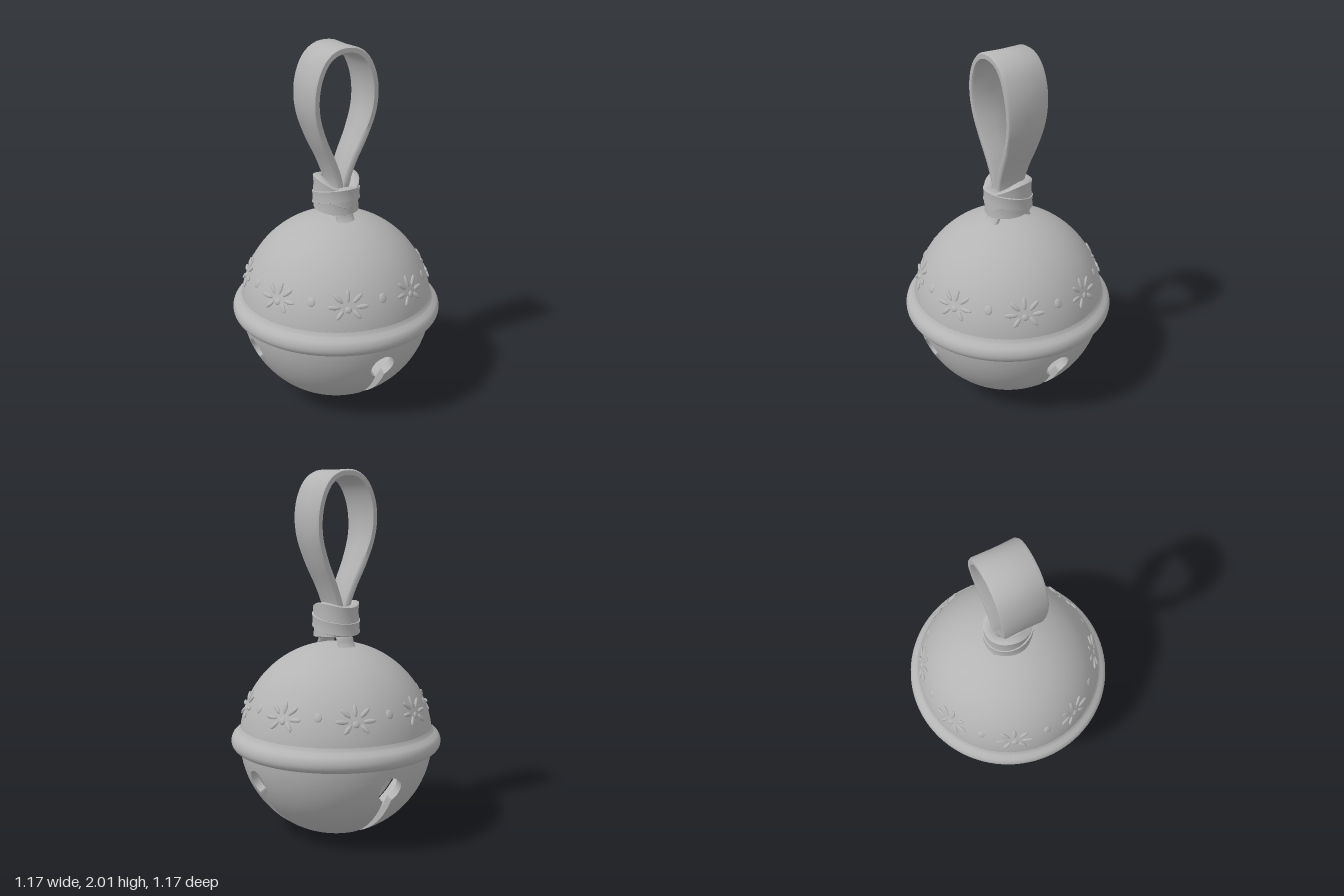
import * as THREE from 'three';
import { toCreasedNormals } from 'three/addons/utils/BufferGeometryUtils.js';

const R = 0.537, CY = 0.53, WALL = 0.04;   // shell radius, centre height, thickness
const TAU = Math.PI * 2;

// Skins a list of closed cross-section loops
function skin(rings, crease, closed = false) {
  const n = rings[0].length, pos = [], idx = [];
  rings.forEach(r => r.forEach(p => pos.push(p.x, p.y, p.z)));
  const rows = closed ? rings.length : rings.length - 1;
  for (let i = 0; i < rows; i++) {
    const k = (i + 1) % rings.length;
    for (let j = 0; j < n; j++) {
      const m = (j + 1) % n;
      const a = i * n + j, b = i * n + m, c = k * n + j, d = k * n + m;
      idx.push(a, c, b, b, c, d);
    }
  }
  const g = new THREE.BufferGeometry();
  g.setAttribute('position', new THREE.Float32BufferAttribute(pos, 3));
  g.setIndex(idx);
  return toCreasedNormals(g, crease);
}

// Half width of the sound slot at a height: straight cut ending in a round hole
function slotHalf(y) {
  const d = y - 0.345;
  const hole = Math.abs(d) < 0.07 ? Math.sqrt(0.0049 - d * d) : 0;
  return d < 0 ? Math.max(0.028, hole) : hole;
}

// One quarter of the slotted lower shell
function quarterShell() {
  const rings = [], rows = 90, cols = 16;
  const end = Math.PI - Math.asin(0.028 * Math.SQRT2 / (R - WALL));
  for (let i = 0; i <= rows; i++) {
    const phi = THREE.MathUtils.lerp(Math.PI / 2, end, i / rows);
    const w = slotHalf(CY + R * Math.cos(phi));
    const arc = (rad) => {
      const r = rad * Math.sin(phi), a = Math.asin(Math.min(w / r, Math.SQRT1_2));
      return Array.from({ length: cols + 1 }, (_, j) => {
        const t = THREE.MathUtils.lerp(a, Math.PI / 2 - a, j / cols);
        return new THREE.Vector3(r * Math.sin(t), CY + rad * Math.cos(phi), r * Math.cos(t));
      });
    };
    rings.push([...arc(R), ...arc(R - WALL).reverse()]);
  }
  return skin(rings, 0.7);
}

// Soft strap section: [across thickness, across width]
const SECTION = [[0.6, -1], [1, -0.9], [0.85, 0], [1, 0.9], [0.6, 1],
  [-0.6, 1], [-1, 0.9], [-1.1, 0], [-1, -0.9], [-0.6, -1]];

// Teardrop hanging loop
function strapGeometry() {
  const half = [[0.016, 1.17], [0.022, 1.26], [0.06, 1.37], [0.125, 1.51], [0.168, 1.64], [0.176, 1.75],
    [0.157, 1.85], [0.115, 1.93], [0.06, 1.97]];
  const pts = [...half, [0, 1.98], ...half.slice().reverse().map(([x, y]) => [-x, y])];
  const curve = new THREE.CatmullRomCurve3(pts.map(([x, y]) => new THREE.Vector3(x, y, 0)));
  const rings = [];
  for (let i = 0; i <= 80; i++) {
    const p = curve.getPointAt(i / 80), t = curve.getTangentAt(i / 80);
    const w = 0.082 + 0.043 * THREE.MathUtils.smoothstep(p.y, 1.2, 1.9);
    rings.push(SECTION.map(([n, s]) =>
      new THREE.Vector3(p.x + t.y * n * 0.02, p.y - t.x * n * 0.02, s * w)));
  }
  return skin(rings, 0.9);
}

// Wrapped band of the knot; height is a function of the angle
function bandGeometry(radius, halfHeight, height) {
  const rings = [];
  for (let i = 0; i < 48; i++) {
    const a = i / 48 * TAU, sx = Math.sin(a), cz = Math.cos(a);
    rings.push(SECTION.map(([n, s]) => {
      const r = radius + n * 0.022;
      return new THREE.Vector3(r * sx, height(a) + s * halfHeight, r * cz * 1.07);
    }));
  }
  return skin(rings, 0.9, true);
}

export function createModel() {
  const model = new THREE.Group();
  const metal = new THREE.MeshStandardMaterial({ color: 0xb4b4b4 });
  metal.name = 'plain grey';
  const add = (name, geo, parent = model) => {
    const m = new THREE.Mesh(geo, metal);
    m.name = name;
    parent.add(m);
    return m;
  };

  // Hollow upper dome
  const dome = [];
  for (let i = 0; i <= 32; i++) {
    const a = i / 32 * Math.PI / 2;
    dome.push(new THREE.Vector2(R * Math.cos(a), CY + R * Math.sin(a)));
  }
  const inside = dome.map(p => new THREE.Vector2(p.x * (1 - WALL / R), CY + (p.y - CY) * (1 - WALL / R))).reverse();
  add('upperDome', new THREE.LatheGeometry(dome, 72));
  add('upperDomeInside', new THREE.LatheGeometry(inside, 72));

  // Four slotted lower quarters
  const quarter = quarterShell();
  for (let k = 0; k < 4; k++) add('lowerShellQuarter', quarter).rotation.y = k * Math.PI / 2;

  // Rolled belt
  const belt = [[0.51, 0.475], [0.545, 0.474], [0.567, 0.484], [0.581, 0.505], [0.583, 0.53],
    [0.574, 0.555], [0.555, 0.573], [0.541, 0.586], [0.528, 0.61]];
  const beltCurve = new THREE.SplineCurve(belt.map(p => new THREE.Vector2(...p)));
  add('belt', new THREE.LatheGeometry(beltCurve.getPoints(28), 96));

  // Raised ornaments around the dome
  const bead = new THREE.SphereGeometry(1, 14, 8);
  const onDome = (name, angle, y) => {
    const g = new THREE.Group(), r = Math.sqrt(R * R - (y - CY) ** 2);
    g.name = name;
    g.position.set(r * Math.sin(angle), y, r * Math.cos(angle));
    g.lookAt(g.position.clone().multiplyScalar(2).setY(y + (y - CY)));
    model.add(g);
    return g;
  };
  const blob = (name, parent, x, y, w, h, turn) => {
    const m = add(name, bead, parent);
    m.position.set(x, y, -0.002);
    m.scale.set(w, h, 0.008);
    m.rotation.z = turn;
  };
  for (let k = 0; k < 8; k++) {
    const a = k * Math.PI / 4;
    blob('dot', onDome('dotOrnament', a, 0.75), 0, 0, 0.022, 0.026, 0);
    const flower = onDome('flowerOrnament', a + Math.PI / 8, 0.74);
    for (const t of [-1.5, -0.8, 0, 0.8, 1.5]) {
      const d = 0.062 + 0.012 * Math.abs(Math.sin(t));
      blob('petal', flower, -Math.sin(t) * d, Math.cos(t) * d - 0.015, 0.012, 0.034, t);
    }
    for (const s of [-1, 1]) blob('leaf', flower, s * 0.045, -0.05, 0.012, 0.03, s * 0.7);
    blob('flowerHeart', flower, 0, -0.025, 0.018, 0.018, 0);
  }

  // Arched shank under the knot
  const arch = new THREE.CatmullRomCurve3([[-0.125, 1.025], [-0.1, 1.06], [-0.08, 1.1], [-0.04, 1.125], [0, 1.13],
    [0.04, 1.125], [0.08, 1.1], [0.1, 1.06], [0.125, 1.025]].map(([z, y]) => new THREE.Vector3(0, y, z)));
  add('shank', new THREE.TubeGeometry(arch, 40, 0.021, 12)).scale.x = 2.6;

  // Hanging strap and its wrapped knot
  add('strapLoop', strapGeometry());
  const core = add('knotCore', new THREE.CylinderGeometry(0.1, 0.1, 0.12, 32));
  core.position.y = 1.175;
  const knot = new THREE.Group();
  knot.name = 'knot';
  model.add(knot);
  add('lowerWrap', bandGeometry(0.1, 0.045, a => 1.145 - 0.01 * Math.cos(a)), knot);
  add('upperWrap', bandGeometry(0.102, 0.05, a => 1.22 - 0.02 * Math.cos(a) - 0.02 * Math.cos(2 * a)), knot);
  add('crossWrap', bandGeometry(0.107, 0.036, a => 1.175 + 0.03 * Math.cos(a)), knot);

  return model;
}
